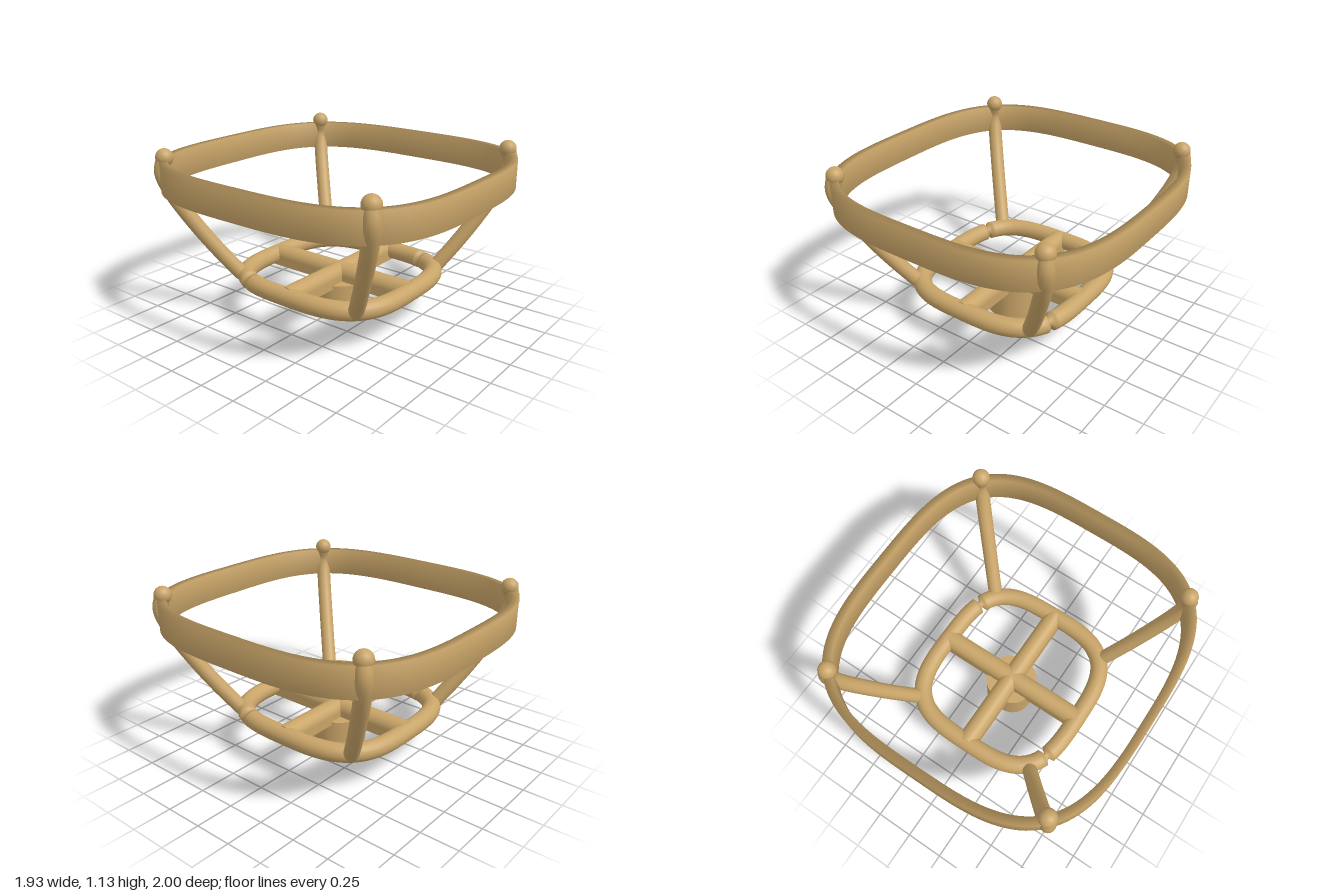
import * as THREE from 'three';

const material = new THREE.MeshStandardMaterial({ color: 0xc8a468 });

function addMesh(parent, geometry, name) {
  const mesh = new THREE.Mesh(geometry, material);
  mesh.name = name;
  parent.add(mesh);
  return mesh;
}

// Point on a rounded-square outline (superellipse) and its outward direction
const POWER = 3.3;
function outline(a, b, angle, n = POWER) {
  const c = Math.cos(angle), s = Math.sin(angle);
  const r = Math.pow(Math.abs(c / a) ** n + Math.abs(s / b) ** n, -1 / n);
  const x = r * c, z = r * s;
  const normal = new THREE.Vector2(
    Math.sign(x) * Math.abs(x / a) ** (n - 1) / a,
    Math.sign(z) * Math.abs(z / b) ** (n - 1) / b).normalize();
  return { x, z, normal };
}

// Sweep a section ([outward, up] points, counter-clockwise) around the outline
function ringGeometry(a, b, y, section, scaleAt = () => 1) {
  const steps = 180, m = section.length;
  const positions = [], index = [];
  for (let i = 0; i < steps; i++) {
    const p = outline(a, b, i / steps * Math.PI * 2);
    const k = scaleAt(i);
    for (const [u, v] of section) {
      positions.push(p.x + p.normal.x * u * k, y + v * k, p.z + p.normal.y * u * k);
    }
    for (let j = 0; j < m; j++) {
      const i2 = (i + 1) % steps, j2 = (j + 1) % m;
      const p00 = i * m + j, p01 = i * m + j2, p10 = i2 * m + j, p11 = i2 * m + j2;
      index.push(p00, p01, p10, p01, p11, p10);
    }
  }
  const geometry = new THREE.BufferGeometry();
  geometry.setAttribute('position', new THREE.Float32BufferAttribute(positions, 3));
  geometry.setIndex(index);
  geometry.computeVertexNormals();
  return geometry;
}

export function createModel() {
  const model = new THREE.Group();
  model.name = 'basketFrame';

  // Upper band: tall, thin section
  const w = 0.027, h = 0.0925;
  addMesh(model, ringGeometry(0.938, 0.973, 0.9625,
    [[w, -h], [w, h], [-w, h], [-w, -h]]), 'upperBand');

  // Lower ring: round section, pinched at two opposite joints
  const round = [];
  for (let j = 0; j < 20; j++) {
    const t = j / 20 * Math.PI * 2;
    round.push([0.06 * Math.cos(t), 0.06 * Math.sin(t)]);
  }
  addMesh(model, ringGeometry(0.53, 0.55, 0.27, round,
    i => (i % 90 === 17 ? 0.3 : 1)), 'lowerRing');

  // Curved corner posts with rounded ends
  const profile = [[0.455, 0.285], [0.55, 0.45], [0.645, 0.635],
    [0.735, 0.84], [0.772, 0.98], [0.757, 1.075]];
  for (const sx of [-1, 1]) {
    for (const sz of [-1, 1]) {
      const post = new THREE.Group();
      post.name = (sz > 0 ? 'front' : 'back') + (sx > 0 ? 'Left' : 'Right') + 'Post';
      const points = profile.map(([d, y]) => new THREE.Vector3(sx * d, y, sz * d * 1.035));
      addMesh(post, new THREE.TubeGeometry(
        new THREE.CatmullRomCurve3(points), 36, 0.049, 16), 'postRod');
      const tip = addMesh(post, new THREE.SphereGeometry(0.056, 20, 14), 'postTip');
      tip.position.copy(points[points.length - 1]);
      const foot = addMesh(post, new THREE.SphereGeometry(0.049, 16, 10), 'postFoot');
      foot.position.copy(points[0]);
      model.add(post);
    }
  }

  // Crossed bars: flat underside, rounded top
  const bar = new THREE.Shape();
  bar.moveTo(-0.065, 0.205);
  bar.lineTo(0.065, 0.205);
  bar.lineTo(0.065, 0.27);
  bar.absarc(0, 0.27, 0.065, 0, Math.PI, false);
  bar.closePath();
  for (const [name, length, turn] of [['sideBar', 1.07, Math.PI / 2], ['longBar', 1.11, 0]]) {
    const geometry = new THREE.ExtrudeGeometry(bar,
      { depth: length, bevelEnabled: false, curveSegments: 16 });
    geometry.translate(0, 0, -length / 2);
    addMesh(model, geometry, name).rotation.y = turn;
  }

  // Central hub: softly squared peg
  const hub = new THREE.CylinderGeometry(1, 1, 0.23, 32);
  const pos = hub.attributes.position;
  for (let i = 0; i < pos.count; i++) {
    const x = pos.getX(i), z = pos.getZ(i);
    if (Math.hypot(x, z) < 0.5) continue;
    const p = outline(0.167, 0.167, Math.atan2(z, x), 2.4);
    pos.setXYZ(i, p.x, pos.getY(i), p.z);
  }
  addMesh(model, hub, 'hub').position.y = 0.115;

  return model;
}
